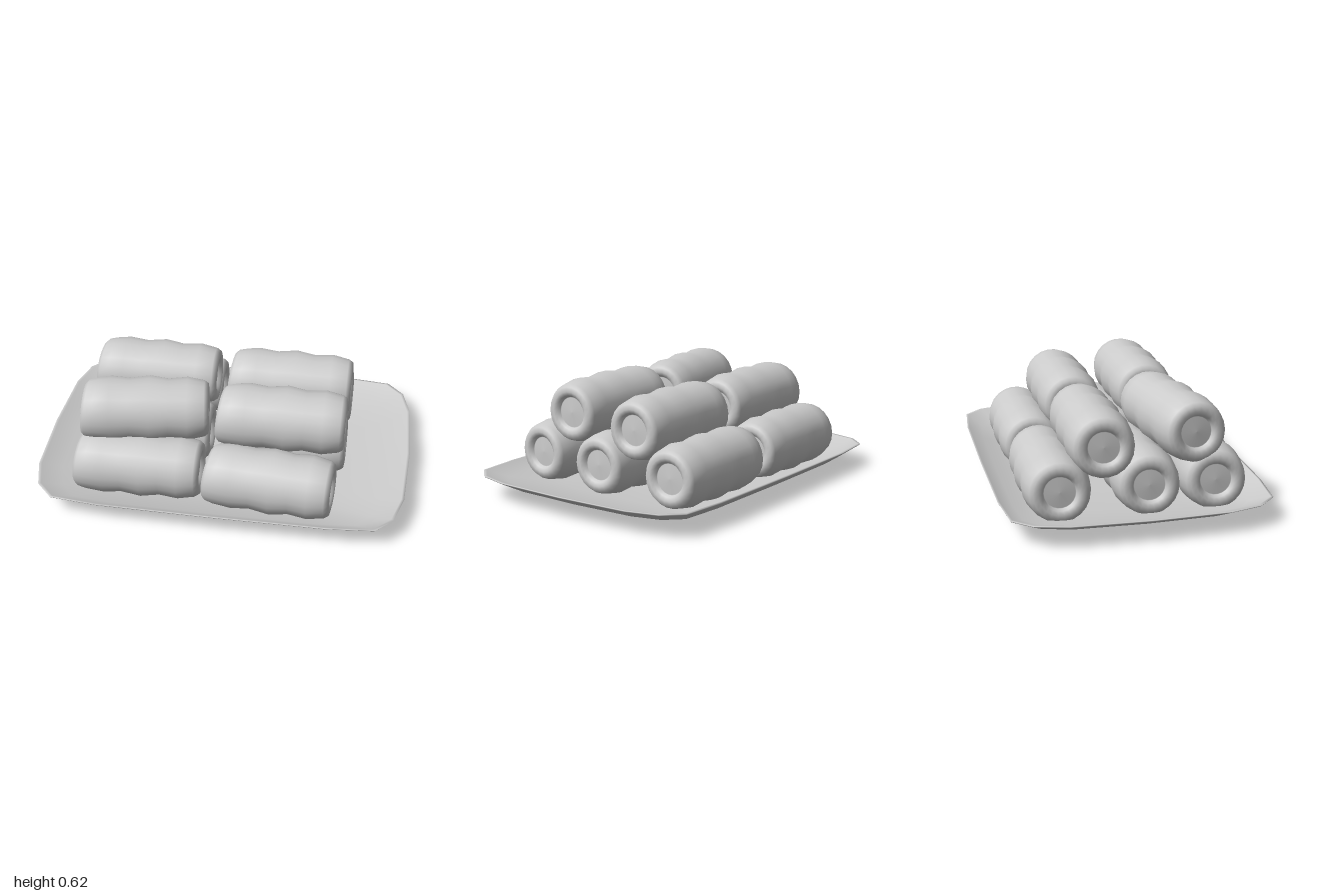
import * as THREE from 'three';

const material = new THREE.MeshStandardMaterial({ color: 0xcccccc });

// Shallow rectangular plate: one rounded outline scaled into rings, underside then upper side
function plateGeometry() {
  const quarter = [[1, 0], [0.985, 0.4], [0.94, 0.57], [0.85, 0.665], [0.6, 0.69], [0, 0.695]];
  const outline = [];
  for (const [sx, sz, flip] of [[1, 1, 0], [-1, 1, 1], [-1, -1, 0], [1, -1, 1]]) {
    const pts = quarter.map(([x, z]) => [x * sx, z * sz]);
    if (flip) pts.reverse();
    outline.push(...pts.slice(0, -1));
  }
  // [scale, height]
  const rings = [
    [0, 0.005], [0.3, 0.009], [0.6, 0.02], [0.89, 0.065], [0.995, 0.12],
    [1, 0.127], [0.985, 0.127], [0.88, 0.079], [0.6, 0.034], [0.3, 0.023], [0, 0.019],
  ];
  const positions = [], index = [], n = outline.length;
  for (const [s, y] of rings) for (const [x, z] of outline) positions.push(x * s, y, z * s);
  for (let i = 0; i < rings.length - 1; i++) {
    for (let j = 0; j < n; j++) {
      const a = i * n + j, b = i * n + (j + 1) % n, c = a + n, d = b + n;
      if (rings[i + 1][0] > 0) index.push(a, c, d);
      if (rings[i][0] > 0) index.push(a, d, b);
    }
  }
  const g = new THREE.BufferGeometry();
  g.setAttribute('position', new THREE.Float32BufferAttribute(positions, 3));
  g.setIndex(index);
  g.computeVertexNormals();
  return g;
}

// Wavy rolled wrapper lying along x, with a recessed filling at both ends
function rollGeometry() {
  const profile = [
    [0, -0.305], [0.078, -0.3], [0.082, -0.3], [0.09, -0.318], [0.11, -0.326], [0.135, -0.322],
    [0.152, -0.305], [0.163, -0.26], [0.172, -0.19], [0.161, -0.09], [0.175, 0.015],
    [0.158, 0.115], [0.168, 0.215], [0.15, 0.305], [0.135, 0.326],
    [0.11, 0.33], [0.09, 0.322], [0.082, 0.305], [0.078, 0.305], [0, 0.31],
  ].map(([r, x]) => new THREE.Vector2(r, x));
  const g = new THREE.LatheGeometry(profile, 22);
  g.rotateZ(-Math.PI / 2);
  // Slant the left end a little
  const p = g.attributes.position;
  for (let i = 0; i < p.count; i++) {
    if (p.getX(i) < -0.25) {
      p.setX(i, p.getX(i) - 0.01 - 0.07 * (p.getZ(i) - p.getY(i)));
    }
  }
  return g;
}

export function createModel() {
  const group = new THREE.Group();

  const plate = new THREE.Mesh(plateGeometry(), material);
  plate.name = 'plate';
  group.add(plate);

  // Stacked rolls: three below and two above in each column [x, y, z, turn]
  const rolls = new THREE.Group();
  rolls.name = 'rolls';
  const geometry = rollGeometry();
  const layout = [];
  for (const x of [-0.415, 0.32]) {
    const left = x > 0;
    layout.push(
      [x, 0.2, -0.4, 0], [x, 0.2, 0.055, 0],
      left ? [0.285, 0.203, 0.445, -0.08] : [x, 0.2, 0.4, 0],
      [x, 0.415, -0.178, 0],
      left ? [x, 0.455, 0.23, 0] : [-0.405, 0.455, 0.25, 0.15],
    );
  }
  layout.forEach(([x, y, z, turn], i) => {
    const roll = new THREE.Mesh(geometry, material);
    roll.name = `roll${i + 1}`;
    roll.position.set(x, y, z);
    roll.rotation.y = turn;
    rolls.add(roll);
  });
  group.add(rolls);
  return group;
}
